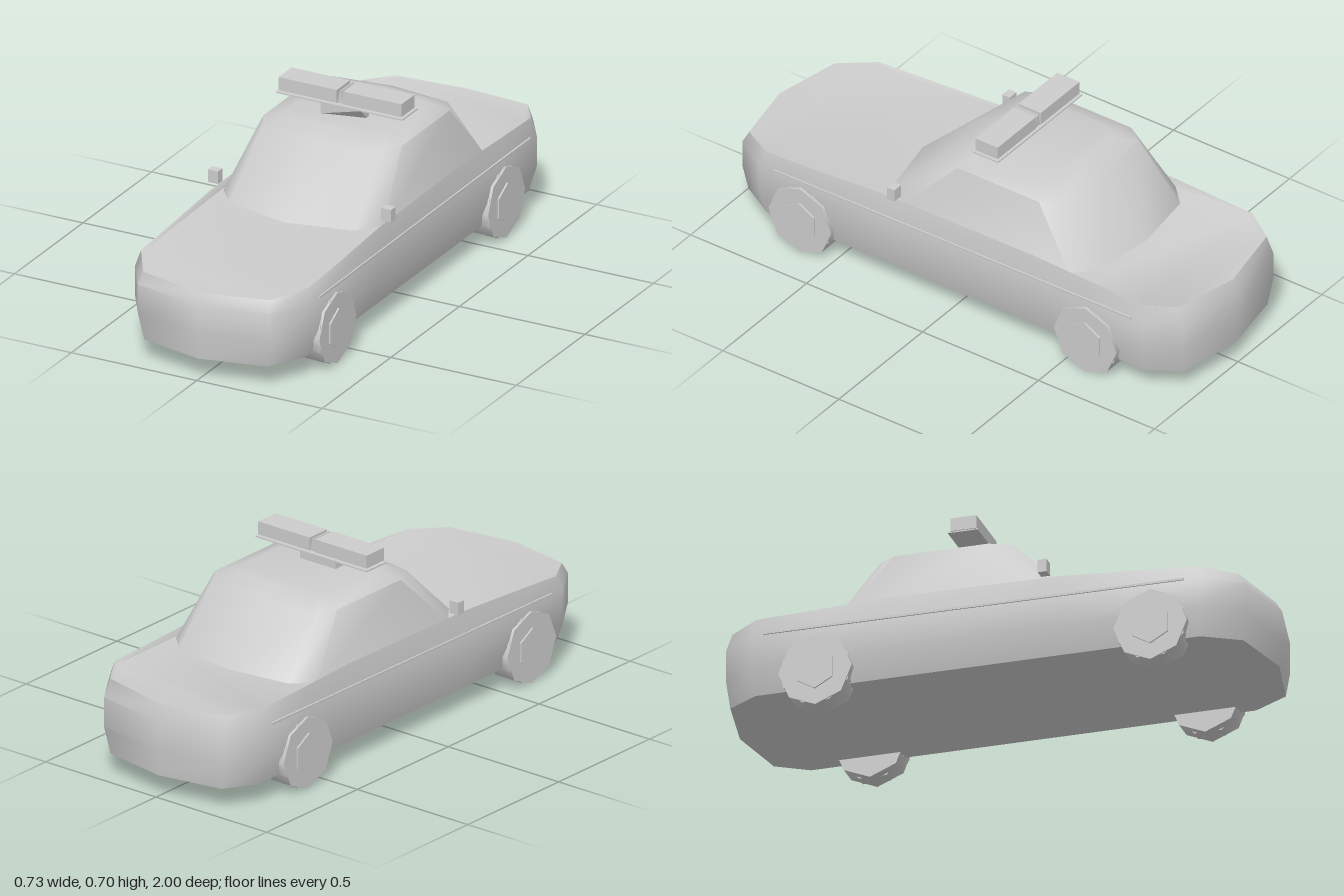
import * as THREE from 'three';
import { toCreasedNormals } from 'three/addons/utils/BufferGeometryUtils.js';

const grey = new THREE.MeshStandardMaterial({ color: 0xcccccc });
grey.name = 'plain grey';

function part(name, geometry, x = 0, y = 0, z = 0) {
  const mesh = new THREE.Mesh(geometry, grey);
  mesh.name = name;
  mesh.position.set(x, y, z);
  return mesh;
}

// Closed shell from stacked rings; each ring lists its +x half from front centre to rear centre.
function mirroredLoft(levels, crease) {
  const h = levels[0].length, n = 2 * h - 2;
  const verts = [], index = [];
  for (const half of levels) {
    const back = half.slice(1, -1).reverse().map(([x, y, z]) => [-x, y, z]);
    for (const p of [...half, ...back]) verts.push(...p);
  }
  for (let j = 0; j < levels.length - 1; j++) {
    for (let i = 0; i < n; i++) {
      const a = j * n + i, b = j * n + (i + 1) % n;
      index.push(a, b, b + n, a, b + n, a + n);
    }
  }
  // Caps are strips running across from side to side
  const top = (levels.length - 1) * n;
  for (let i = 0; i < h - 1; i++) {
    const l0 = (n - i) % n, l1 = n - i - 1;
    for (const [base, up] of [[0, false], [top, true]]) {
      const tris = [[i, i + 1, l1], [i, l1, l0]];
      for (const [a, b, c] of tris) {
        if (a === b || b === c || a === c) continue;
        index.push(base + a, base + (up ? b : c), base + (up ? c : b));
      }
    }
  }
  const g = new THREE.BufferGeometry();
  g.setAttribute('position', new THREE.Float32BufferAttribute(verts, 3));
  g.setIndex(index);
  return toCreasedNormals(g, crease);
}

// Half outline of the body: x, z, shoulder height, deck height
const outline = [
  [0, 1.0, 0.327, 0.327], [0.265, 0.945, 0.332, 0.332], [0.35, 0.81, 0.346, 0.343],
  [0.35, 0.3, 0.378, 0.357], [0.35, -0.35, 0.384, 0.357], [0.35, -0.6, 0.375, 0.357],
  [0.35, -0.84, 0.367, 0.357], [0.273, -0.955, 0.358, 0.353], [0, -1.0, 0.345, 0.345],
];

function bodyGeometry() {
  const ring = (kx, kz, height) => outline.map((p) => [p[0] * kx, height(p), p[1] * kz]);
  return mirroredLoft([
    ring(0.92, 0.99, () => 0.08),
    ring(1, 1, () => 0.18),
    ring(1, 1, () => 0.29),
    ring(0.96, 0.978, (p) => p[2]),
    ring(0.935, 0.968, (p) => p[3]),
  ], 0.87);
}

function cabinGeometry() {
  const ring = (y, pts) => pts.map(([x, z]) => [x, y, z]);
  return mirroredLoft([
    ring(0.345, [[0, 0.37], [0.25, 0.32], [0.322, 0.23], [0.322, -0.51], [0.25, -0.58], [0, -0.615]]),
    ring(0.57, [[0, 0.13], [0.235, 0.09], [0.276, 0.01], [0.276, -0.34], [0.235, -0.4], [0, -0.43]]),
    ring(0.597, [[0, 0.04], [0.16, 0.02], [0.2, -0.02], [0.2, -0.31], [0.16, -0.335], [0, -0.36]]),
  ], 0.87);
}

function wheel(name, side, z) {
  const group = new THREE.Group();
  group.name = name;
  const disc = (label, r, width, sides, x, turn = 0) => {
    const g = new THREE.CylinderGeometry(r, r, width, sides, 1, false, turn);
    g.rotateZ(-Math.PI / 2);
    group.add(part(label, toCreasedNormals(g, 0.87), side * x, 0, 0));
  };
  disc('tyre', 0.135, 0.088, 8, 0.316);
  disc('wheelArch', 0.13, 0.05, 8, 0.33, Math.PI / 8);
  disc('hub', 0.075, 0.02, 6, 0.356, Math.PI / 6 * 3);
  group.position.set(0, 0.135, z);
  return group;
}

function lightBar() {
  const bar = new THREE.Group();
  bar.name = 'roofLightBar';
  bar.add(part('barPlate', new THREE.BoxGeometry(0.504, 0.005, 0.11), 0, 0.645, -0.092));
  for (const s of [1, -1]) {
    bar.add(part('lightBox', new THREE.BoxGeometry(0.232, 0.049, 0.096), s * 0.129, 0.677, -0.092));
  }
  // Central divider narrows towards the top
  const divider = new THREE.BoxGeometry(0.024, 0.046, 0.09).toNonIndexed();
  const d = divider.attributes.position;
  for (let i = 0; i < d.count; i++) if (d.getY(i) > 0) d.setX(i, d.getX(i) * 0.2);
  divider.computeVertexNormals();
  bar.add(part('divider', divider, 0, 0.676, -0.092));
  // Foot has one lower front corner pulled back
  const foot = new THREE.BoxGeometry(0.16, 0.042, 0.06).toNonIndexed();
  const f = foot.attributes.position;
  for (let i = 0; i < f.count; i++) {
    if (f.getX(i) > 0 && f.getY(i) < 0 && f.getZ(i) > 0) f.setZ(i, -0.01);
  }
  foot.computeVertexNormals();
  bar.add(part('barFoot', foot, 0, 0.617, -0.08));
  return bar;
}

export function createModel() {
  const car = new THREE.Group();
  car.name = 'patrolCar';
  car.add(part('body', bodyGeometry()), part('cabin', cabinGeometry()), lightBar());
  for (const [side, label] of [[1, 'left'], [-1, 'right']]) {
    car.add(wheel(label + 'FrontWheel', side, 0.63));
    car.add(wheel(label + 'RearWheel', side, -0.6));
    car.add(part(label + 'Mirror', new THREE.BoxGeometry(0.04, 0.048, 0.032), side * 0.345, 0.414, 0.235));
    const strip = part(label + 'SideStrip', new THREE.BoxGeometry(0.008, 0.008, 1.54), side * 0.35, 0.299, -0.02);
    strip.rotation.x = 0.005;
    car.add(strip);
  }
  return car;
}
